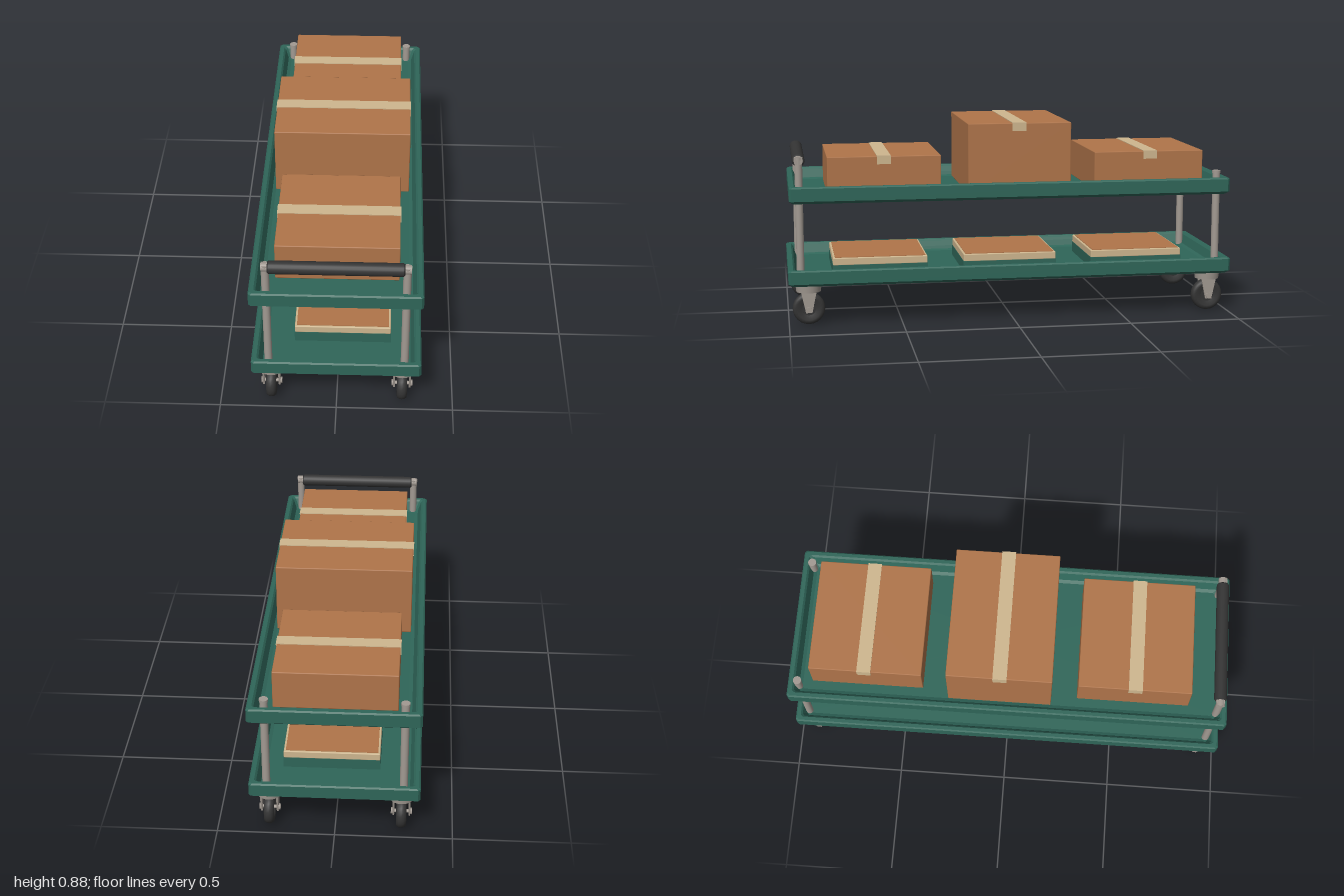
import * as THREE from 'three';
import { RoundedBoxGeometry } from 'three/addons/geometries/RoundedBoxGeometry.js';

const mat = (name, color) => {
  const m = new THREE.MeshStandardMaterial({ color });
  m.name = name;
  return m;
};

export function createModel() {
  const green = mat('green tray', 0x2f6659);
  const card = mat('cardboard', 0xb0754a);
  const cream = mat('cream tape', 0xcfb78f);
  const metal = mat('grey metal', 0xa29a92);
  const black = mat('black rubber', 0x343434);

  const cart = new THREE.Group();
  cart.name = 'cart';

  function add(parent, name, geometry, material, x = 0, y = 0, z = 0) {
    const mesh = new THREE.Mesh(geometry, material);
    mesh.name = name;
    mesh.position.set(x, y, z);
    parent.add(mesh);
    return mesh;
  }

  // Open tray: chamfered rectangular rings [half width, half length, height]
  function trayGeometry(hx, hz, h) {
    const rings = [
      [0, 0, 0], [hx - 0.015, hz - 0.015, 0], [hx, hz, 0.012], [hx, hz, h - 0.006],
      [hx - 0.006, hz - 0.006, h], [hx - 0.022, hz - 0.022, h],
      [hx - 0.03, hz - 0.03, h - 0.008], [hx - 0.045, hz - 0.045, 0.026],
      [hx - 0.06, hz - 0.06, 0.02], [0, 0, 0.02],
    ].map(([x, z, y]) => {
      const c = Math.min(0.01, x);
      return [[x, z - c], [x, c - z], [x - c, -z], [c - x, -z],
        [-x, c - z], [-x, z - c], [c - x, z], [x - c, z]].map(([px, pz]) => [px, y, x ? pz : 0]);
    });
    const pos = [];
    for (let i = 0; i < rings.length - 1; i++) {
      for (let j = 0; j < 8; j++) {
        const k = (j + 1) % 8;
        const a = rings[i][j], b = rings[i][k], c = rings[i + 1][k], d = rings[i + 1][j];
        if (i > 0) pos.push(...a, ...b, ...c);
        else pos.push(...a, ...c, ...d);
        if (i > 0 && i < rings.length - 2) pos.push(...a, ...c, ...d);
      }
    }
    const g = new THREE.BufferGeometry();
    g.setAttribute('position', new THREE.Float32BufferAttribute(pos, 3));
    g.computeVertexNormals();
    return g;
  }
  add(cart, 'lowerTray', trayGeometry(0.36, 1.0, 0.072), green, 0, 0.185, 0);
  add(cart, 'upperTray', trayGeometry(0.36, 0.99, 0.074), green, 0, 0.551, 0);

  // Cardboard boxes with tape across the top and down both ends
  function carton(z, width, length, top, tapeZ) {
    const g = new THREE.Group();
    g.name = 'carton';
    const bottom = 0.571;
    add(g, 'cartonBody', new RoundedBoxGeometry(width, top - bottom, length, 1, 0.004), card, 0, (top + bottom) / 2, z);
    add(g, 'tapeTop', new THREE.BoxGeometry(width + 0.006, 0.004, 0.062), cream, 0, top + 0.001, tapeZ);
    for (const s of [-1, 1]) {
      add(g, 'tapeEnd', new THREE.BoxGeometry(0.004, 0.036, 0.062), cream, s * (width / 2 + 0.001), top - 0.017, tapeZ);
    }
    cart.add(g);
  }
  carton(0.568, 0.52, 0.505, 0.743, 0.57);
  carton(-0.033, 0.6, 0.465, 0.884, -0.03);
  carton(-0.635, 0.52, 0.505, 0.743, -0.64);

  // Flat packs on the lower tray, each on a raised base
  for (const z of [0.588, 0, -0.588]) {
    const g = new THREE.Group();
    g.name = 'flatPack';
    add(g, 'packBase', new THREE.BoxGeometry(0.416, 0.05, 0.426), green, 0.022, 0.228, z);
    add(g, 'packEdge', new RoundedBoxGeometry(0.414, 0.034, 0.424, 1, 0.004), cream, 0.022, 0.268, z);
    add(g, 'packTop', new THREE.BoxGeometry(0.396, 0.005, 0.406), card, 0.022, 0.285, z);
    cart.add(g);
  }

  // Posts, tall at the front for the handle
  function post(x, z, top) {
    const bottom = 0.2;
    add(cart, 'post', new THREE.CylinderGeometry(0.017, 0.017, top - bottom, 16), metal, x, (top + bottom) / 2, z);
    add(cart, 'postCap', new THREE.CylinderGeometry(0.019, 0.019, 0.012, 16), metal, x, top - 0.004, z);
  }
  for (const s of [-1, 1]) {
    post(s * 0.289, 0.945, 0.747);
    post(s * 0.289, -0.945, 0.65);
    const clamp = add(cart, 'handleClamp', new THREE.CylinderGeometry(0.02, 0.02, 0.036, 14), metal, s * 0.287, 0.735, 0.945);
    clamp.rotation.z = Math.PI / 2;
  }

  // Push handle
  const grip = [[0, -0.279], [0.023, -0.279], [0.028, -0.272], [0.028, 0.272], [0.023, 0.279], [0, 0.279]]
    .map(([r, y]) => new THREE.Vector2(r, y));
  add(cart, 'handleGrip', new THREE.LatheGeometry(grip, 20), black, 0, 0.733, 0.945).rotation.z = Math.PI / 2;

  // Casters: mount, two tapering fork plates, axle and tyre
  const tyre = [[0.03, -0.016], [0.052, -0.022], [0.064, -0.02], [0.071, -0.01], [0.072, 0],
    [0.071, 0.01], [0.064, 0.02], [0.052, 0.022], [0.03, 0.016], [0.03, -0.016]]
    .map(([r, y]) => new THREE.Vector2(r, y));
  const forkShape = new THREE.Shape([[-0.034, 0.155], [-0.014, 0.06], [0.014, 0.06], [0.034, 0.155]]
    .map(([x, y]) => new THREE.Vector2(x, y)));
  const forkGeo = new THREE.ExtrudeGeometry(forkShape, { depth: 0.008, bevelEnabled: false });
  forkGeo.translate(0, 0, -0.004).rotateY(Math.PI / 2);

  function caster(x, z) {
    const g = new THREE.Group();
    g.name = 'caster';
    g.position.set(x, 0, z);
    add(g, 'casterMount', new THREE.CylinderGeometry(0.058, 0.054, 0.034, 20), metal, 0, 0.169, 0);
    const wheel = add(g, 'tyre', new THREE.LatheGeometry(tyre, 24), black, 0, 0.075, 0);
    const hub = add(g, 'hub', new THREE.CylinderGeometry(0.031, 0.031, 0.03, 16), black, 0, 0.075, 0);
    const axle = add(g, 'axle', new THREE.CylinderGeometry(0.008, 0.008, 0.088, 10), metal, 0, 0.075, 0);
    for (const part of [wheel, hub, axle]) part.rotation.z = Math.PI / 2;
    for (const s of [-1, 1]) {
      add(g, 'fork', forkGeo, metal, s * 0.034, 0, 0);
      const nut = add(g, 'axleNut', new THREE.CylinderGeometry(0.014, 0.014, 0.01, 6), metal, s * 0.04, 0.075, 0);
      nut.rotation.z = Math.PI / 2;
    }
    cart.add(g);
  }
  for (const x of [-0.281, 0.281]) for (const z of [-0.912, 0.912]) caster(x, z);

  return cart;
}
